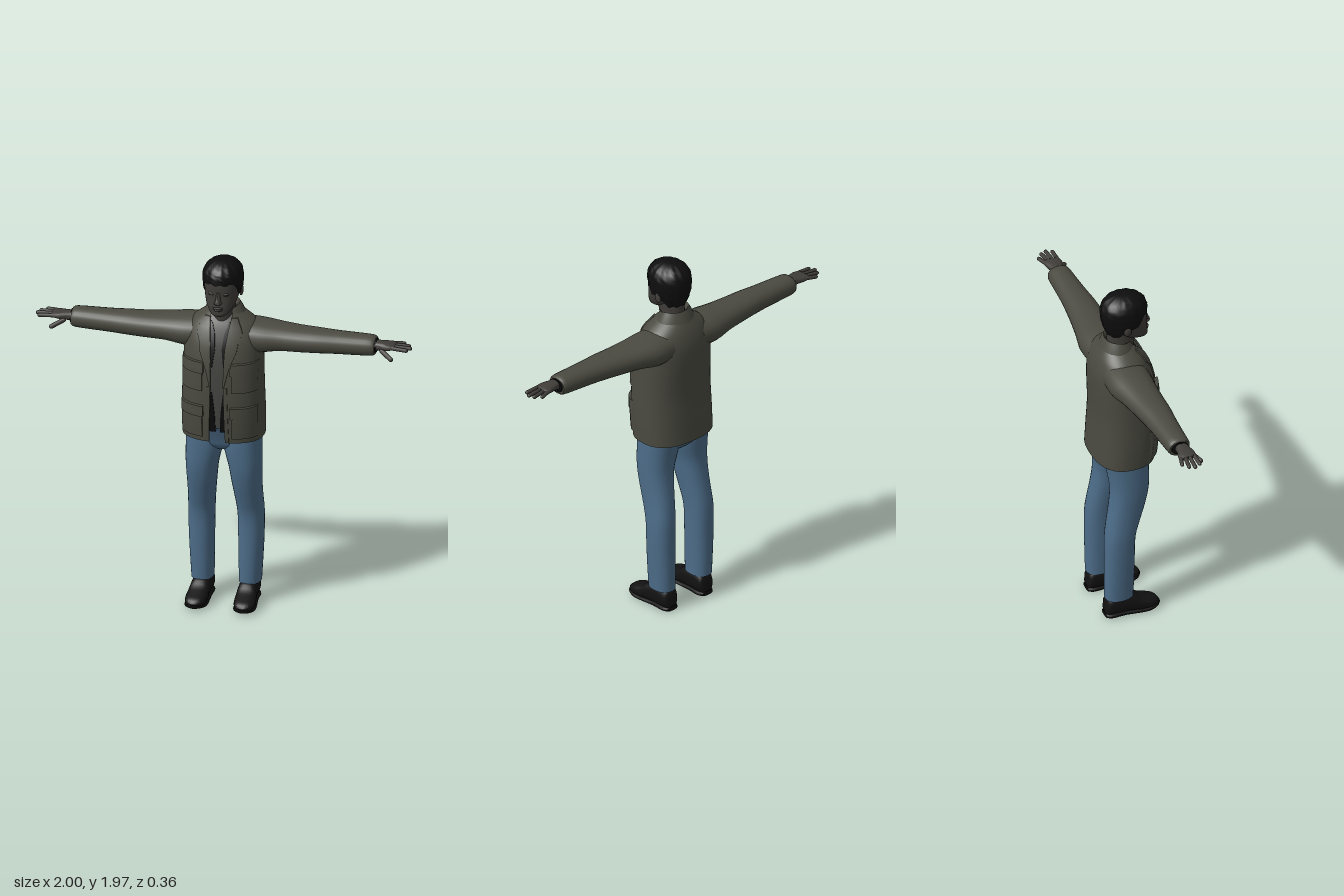
import * as THREE from 'three';
import { toCreasedNormals } from 'three/addons/utils/BufferGeometryUtils.js';

const paint = (name, hex, side = THREE.FrontSide) => {
  const m = new THREE.MeshStandardMaterial({ color: hex, side });
  m.name = name;
  return m;
};

// Linear lookup in rows sorted by their first value
function lookup(rows, t) {
  let i = 0;
  while (i < rows.length - 2 && t > rows[i + 1][0]) i++;
  const k = THREE.MathUtils.clamp((t - rows[i][0]) / (rows[i + 1][0] - rows[i][0]), 0, 1);
  return rows[i].map((v, j) => v + (rows[i + 1][j] - v) * k);
}

// Smoothly resample a table of cross-sections
function smooth(rows, steps) {
  const out = [];
  for (let i = 0; i < rows.length - 1; i++) for (let s = 0; s < steps; s++) {
    const a = rows[Math.max(i - 1, 0)], b = rows[i], c = rows[i + 1], d = rows[Math.min(i + 2, rows.length - 1)], t = s / steps;
    out.push(b.map((v, j) => v + 0.5 * t * (c[j] - a[j] + t * (2 * a[j] - 5 * v + 4 * c[j] - d[j] + t * (3 * (v - c[j]) + d[j] - a[j])))));
  }
  out.push(rows[rows.length - 1]);
  return out;
}

// Skin a list of rings; closed rings get end caps and always face outward
function loft(rings, closed = true, crease = 0.9) {
  const n = rings[0].length, pos = rings.flat(2), idx = [];
  for (let i = 0; i < rings.length - 1; i++) for (let j = 0; j < (closed ? n : n - 1); j++) {
    const a = i * n + j, b = i * n + (j + 1) % n;
    idx.push(a, b, b + n, a, b + n, a + n);
  }
  if (closed) {
    for (const i of [0, rings.length - 1]) {
      const c = pos.length / 3;
      for (let k = 0; k < 3; k++) pos.push(rings[i].reduce((s, p) => s + p[k], 0) / n);
      for (let j = 0; j < n; j++) {
        const a = i * n + j, b = i * n + (j + 1) % n;
        i ? idx.push(a, b, c) : idx.push(b, a, c);
      }
    }
    let volume = 0;
    const p = i => new THREE.Vector3(...pos.slice(i * 3, i * 3 + 3));
    for (let i = 0; i < idx.length; i += 3) volume += p(idx[i]).dot(p(idx[i + 1]).cross(p(idx[i + 2])));
    if (volume < 0) idx.reverse();
  }
  const g = new THREE.BufferGeometry();
  g.setAttribute('position', new THREE.Float32BufferAttribute(pos, 3));
  g.setIndex(idx);
  return toCreasedNormals(g, crease);
}

function mirror(geo) {
  const g = geo.clone().scale(-1, 1, 1);
  const idx = g.index ? [...g.index.array] : [...Array(g.attributes.position.count).keys()];
  g.setIndex(idx.reverse());
  return g;
}

// Superellipse: a = 0 points forward, growing toward +x
const power = (v, e) => Math.sign(v) * Math.abs(v) ** e;
const oval = (a, n) => [power(Math.sin(a), 2 / n), power(Math.cos(a), 2 / n)];
const around = (count, f) => Array.from({ length: count }, (_, i) => f(i / count * Math.PI * 2));
// Horizontal sections: y, centre x, half width, front z, back z
const column = (rows, n = 2.2, count = 28) => loft(rows.map(([y, cx, rx, zf, zb]) =>
  around(count, a => { const [u, v] = oval(a, n); return [cx + rx * u, y, (zf + zb) / 2 + (zf - zb) / 2 * v]; })));

// Jacket body: y, half width, front z, back z, squareness
const BODY = smooth([
  [0.98, 0.215, 0.148, -0.177, 2.5], [1.1, 0.217, 0.16, -0.17, 2.5], [1.25, 0.213, 0.164, -0.162, 2.5],
  [1.4, 0.208, 0.158, -0.167, 2.5], [1.5, 0.205, 0.142, -0.168, 2.4], [1.56, 0.198, 0.122, -0.16, 2.3],
  [1.61, 0.172, 0.098, -0.145, 2.2], [1.645, 0.13, 0.075, -0.128, 2.1], [1.67, 0.095, 0.06, -0.115, 2], [1.69, 0.07, 0.05, -0.105, 2]], 3);
const OPENING = [[0.98, 0.042], [1.3, 0.034], [1.5, 0.036], [1.6, 0.05], [1.7, 0.06]];

function bodyZ(x, y, inset) {
  const [, rx, zf, zb, n] = lookup(BODY, y);
  const r = Math.min(Math.abs(x) / (rx - inset), 0.999);
  return (zf + zb) / 2 + ((zf - zb) / 2 - inset) * (1 - r ** n) ** (1 / n);
}

// Raised panel following the chest; rows of y, inner x, outer x from bottom to top
function drape(rows, off, inset = 0) {
  const y0 = rows[0][0], y1 = rows[rows.length - 1][0], N = 16, rings = [];
  for (let i = -1; i <= N + 1; i++) {
    const [y, a, b] = lookup(rows, y0 + (y1 - y0) * THREE.MathUtils.clamp(i / N, 0, 1)), ring = [];
    for (let j = -1; j <= 9; j++) {
      const edge = i < 0 || i > N || j < 0 || j > 8;
      const x = a + (b - a) * THREE.MathUtils.clamp(j / 8, 0, 1);
      ring.push([x, y, bodyZ(x, y, inset) + (edge ? -0.004 : off)]);
    }
    rings.push(ring);
  }
  return loft(rings, false, 0.6);
}

export function createModel() {
  const model = new THREE.Group();
  const skin = paint('skin', 0x403d39), lip = paint('lips', 0x352e2b), hair = paint('hair', 0x0e0e0f);
  const jacket = paint('jacket cloth', 0x4a4a41, THREE.DoubleSide), shirt = paint('shirt', 0x444541, THREE.DoubleSide);
  const black = paint('black cloth', 0x0b0b0b, THREE.DoubleSide), jeans = paint('denim', 0x4c6c88), leather = paint('shoe leather', 0x131212);
  const add = (name, geo, mat) => {
    const m = new THREE.Mesh(geo, mat);
    m.name = name;
    model.add(m);
  };
  const pair = (name, geo, mat) => { add(name + 'Left', geo, mat); add(name + 'Right', mirror(geo), mat); };
  const blob = (x, y, z, rx, ry, rz) => new THREE.SphereGeometry(1, 20, 14).scale(rx, ry, rz).translate(x, y, z);

  // Jacket shell, open down the front
  add('jacketBody', loft(BODY.map(([y, rx, zf, zb, n]) => {
    const a0 = Math.asin((lookup(OPENING, y)[1] / rx) ** (n / 2));
    return Array.from({ length: 57 }, (_, i) => {
      const [u, v] = oval(a0 + (Math.PI - a0) * 2 * i / 56, n);
      return [rx * u, y, (zf + zb) / 2 + (zf - zb) / 2 * v];
    });
  }).reverse(), false), jacket);

  // Folded collar: radius, rise
  add('jacketCollar', loft([[0.066, 1.665], [0.07, 1.705], [0.08, 1.712], [0.096, 1.685], [0.112, 1.65]].map(([r, y]) =>
    Array.from({ length: 33 }, (_, i) => {
      const a = 0.62 + (2 * Math.PI - 1.24) * i / 32;
      return [r * Math.sin(a), y - 0.02 * Math.max(Math.cos(a), -0.2), -0.028 + r * 0.85 * Math.cos(a)];
    })).reverse(), false), jacket);

  // Lapels, front edges and flap pockets
  pair('lapel', drape([[1.3, 0.033, 0.038], [1.4, 0.035, 0.062], [1.5, 0.038, 0.1], [1.56, 0.044, 0.105], [1.575, 0.046, 0.125], [1.61, 0.05, 0.112], [1.655, 0.056, 0.085]], 0.008), jacket);
  pair('frontEdge', drape([[0.985, 0.042, 0.062], [1.3, 0.034, 0.054]], 0.005), jacket);
  for (const [name, low, high, flap] of [['chestPocket', 1.275, 1.375, 1.435], ['hipPocket', 1.01, 1.13, 1.19]]) {
    pair(name, drape([[low, 0.078, 0.2], [high + 0.02, 0.078, 0.2]], 0.013), jacket);
    pair(name + 'Flap', drape([[high, 0.072, 0.203], [flap, 0.072, 0.203]], 0.02), jacket);
  }

  // Shirt and dark facing inside the opening
  add('shirt', column(BODY.filter(r => r[0] > 1.02).map(([y, rx, zf, zb]) => [y, 0, rx - 0.022, zf - 0.022, zb + 0.022]), 2.4, 40), shirt);
  pair('lowerFacing', drape([[1.035, 0.012, 0.06], [1.14, 0.016, 0.06], [1.26, 0.03, 0.05]], 0.006, 0.022), black);
  pair('upperFacing', drape([[1.4, 0.03, 0.05], [1.5, 0.018, 0.05], [1.58, 0.026, 0.06], [1.63, 0.045, 0.06]], 0.006, 0.022), black);

  // Sleeves: x, centre y, half height, centre z, half depth
  const limb = (rows, n) => loft(rows.map(([x, cy, ry, cz, rz]) =>
    around(24, a => { const [u, v] = oval(a, n); return [x, cy + ry * v, cz + rz * u]; })));
  pair('sleeve', limb(smooth([
    [0.1, 1.54, 0.085, -0.035, 0.115], [0.2, 1.536, 0.083, -0.035, 0.118], [0.3, 1.54, 0.07, -0.03, 0.103],
    [0.4, 1.54, 0.065, -0.023, 0.092], [0.5, 1.542, 0.062, -0.018, 0.083], [0.6, 1.543, 0.058, -0.017, 0.073],
    [0.7, 1.544, 0.056, -0.017, 0.067], [0.785, 1.545, 0.053, -0.017, 0.062], [0.806, 1.545, 0.044, -0.017, 0.056]], 3), 2.2), jacket);
  pair('cuffLining', limb([[0.79, 1.545, 0.038, -0.017, 0.05], [0.812, 1.547, 0.036, -0.017, 0.046]], 2), black);

  // Hands
  pair('palm', limb(smooth([
    [0.79, 1.55, 0.027, -0.013, 0.034], [0.83, 1.552, 0.024, -0.01, 0.035], [0.87, 1.553, 0.02, -0.01, 0.046],
    [0.9, 1.554, 0.015, -0.014, 0.047], [0.912, 1.554, 0.009, -0.014, 0.04]], 2), 2.4), skin);
  const finger = (a, b, r) => {
    const from = new THREE.Vector3(...a), dir = new THREE.Vector3(...b).sub(from), len = dir.length();
    const g = new THREE.CapsuleGeometry(r, len - 2 * r, 4, 10);
    g.applyQuaternion(new THREE.Quaternion().setFromUnitVectors(new THREE.Vector3(0, 1, 0), dir.clone().normalize()));
    return g.translate(...from.addScaledVector(dir, 0.5).toArray());
  };
  [[0.022, 0.024, 0.985], [-0.002, -0.008, 1], [-0.025, -0.038, 0.988], [-0.047, -0.066, 0.957]].forEach(([z0, z1, tip], i) =>
    pair('finger' + (i + 1), finger([0.885, 1.555, z0], [tip, 1.549, z1], 0.0105), skin));
  pair('thumb', finger([0.835, 1.54, 0.018], [0.912, 1.503, 0.066], 0.0125), skin);

  // Jeans: y, centre x, half width, front z, back z
  add('jeansHips', column(smooth([[0.9, 0, 0.1, 0.055, -0.085], [0.93, 0, 0.16, 0.085, -0.115], [0.97, 0, 0.196, 0.1, -0.132], [1.045, 0, 0.192, 0.132, -0.135]], 3), 2.5, 36), jeans);
  pair('jeansLeg', column(smooth([
    [0.115, 0.126, 0.058, 0.004, -0.148], [0.2, 0.128, 0.061, 0.008, -0.15], [0.35, 0.131, 0.066, 0.01, -0.15], [0.5, 0.131, 0.069, 0.014, -0.149],
    [0.6, 0.125, 0.071, 0.042, -0.137], [0.7, 0.119, 0.077, 0.073, -0.12], [0.8, 0.114, 0.085, 0.094, -0.11], [0.9, 0.102, 0.097, 0.1, -0.12], [0.97, 0.1, 0.098, 0.1, -0.131]], 3), 2.3), jeans);

  // Shoes: z, centre x, half width, bottom, top
  const shoe = rows => loft(smooth(rows, 3).map(([z, cx, w, lo, hi]) =>
    around(24, a => { const [u, v] = oval(a, 2.6); return [cx + w * u, (lo + hi) / 2 + (hi - lo) / 2 * v, z]; })));
  pair('shoe', shoe([[-0.147, 0.122, 0.03, 0.02, 0.07], [-0.13, 0.122, 0.046, 0.012, 0.125], [-0.06, 0.123, 0.049, 0.012, 0.135],
    [0, 0.125, 0.051, 0.012, 0.122], [0.04, 0.127, 0.055, 0.01, 0.092], [0.09, 0.129, 0.055, 0.012, 0.073], [0.127, 0.13, 0.043, 0.016, 0.06], [0.145, 0.13, 0.02, 0.024, 0.044]]), leather);
  pair('shoeSole', shoe([[-0.15, 0.122, 0.034, 0.002, 0.026], [-0.12, 0.122, 0.05, 0, 0.028], [-0.05, 0.123, 0.051, 0.002, 0.028],
    [0.04, 0.127, 0.058, 0, 0.026], [0.09, 0.129, 0.058, 0.002, 0.028], [0.13, 0.13, 0.044, 0.01, 0.034], [0.15, 0.13, 0.02, 0.016, 0.036]]), black);

  // Neck and head
  add('neck', column([[1.6, 0, 0.068, 0.06, -0.09], [1.66, 0, 0.06, 0.062, -0.085], [1.72, 0, 0.06, 0.075, -0.082], [1.78, 0, 0.064, 0.07, -0.085]], 2), skin);
  add('head', column(smooth([
    [1.688, 0, 0.022, 0.128, 0.075], [1.698, 0, 0.043, 0.138, 0.045], [1.725, 0, 0.066, 0.137, -0.01], [1.76, 0, 0.081, 0.133, -0.05],
    [1.8, 0, 0.089, 0.129, -0.075], [1.85, 0, 0.093, 0.131, -0.09], [1.9, 0, 0.09, 0.122, -0.09], [1.94, 0, 0.06, 0.08, -0.06]], 3), 2.3, 32), skin);
  add('nose', column(smooth([[1.758, 0, 0.01, 0.14, 0.12], [1.767, 0, 0.021, 0.156, 0.11], [1.785, 0, 0.014, 0.152, 0.11], [1.825, 0, 0.009, 0.134, 0.11]], 3), 2, 16), skin);
  add('upperLip', blob(0, 1.739, 0.134, 0.029, 0.006, 0.012), lip);
  add('lowerLip', blob(0, 1.729, 0.133, 0.025, 0.007, 0.012), lip);
  pair('ear', blob(0.092, 1.795, -0.005, 0.012, 0.032, 0.021), skin);
  pair('eyelid', blob(0.036, 1.815, 0.115, 0.018, 0.01, 0.012), skin);
  pair('eyelash', blob(0.036, 1.811, 0.119, 0.017, 0.003, 0.0095), hair);
  pair('eyebrow', blob(0.038, 1.836, 0.118, 0.024, 0.005, 0.008).rotateZ(0.02), hair);

  // Short wavy hair with a hairline that drops behind the ears
  const ease = THREE.MathUtils.smoothstep, hairRows = [];
  for (let i = 1; i <= 19; i++) hairRows.push(around(64, a => {
    const c = Math.cos(a), edge = 1.8 + 0.066 * ease(c, 0.3, 0.72) - 0.055 * ease(-c, 0.1, 0.7);
    const t = Math.min(i, 18) / 18, y = 1.973 - (1.973 - edge) * (1 - Math.cos(t * Math.PI / 2)) ** 0.9;
    const h = (y - 1.875) / (y > 1.875 ? 0.0985 : 0.13);
    let r = y > 1.875 ? Math.sqrt(Math.max(1 - Math.abs(h) ** 2.4, 0)) : 1 - 0.24 * h * h;
    r *= 1 + 0.022 * Math.sin(9 * a + 5 * i) * Math.sin(0.9 * i + 3 * a);
    if (i === 19) r *= 0.82;
    return [0.106 * r * Math.sin(a), y + 0.004 * t * Math.sin(13 * a), 0.01 + 0.126 * r * c];
  }));
  add('hair', loft(hairRows, true, 1.2), hair);
  return model;
}
